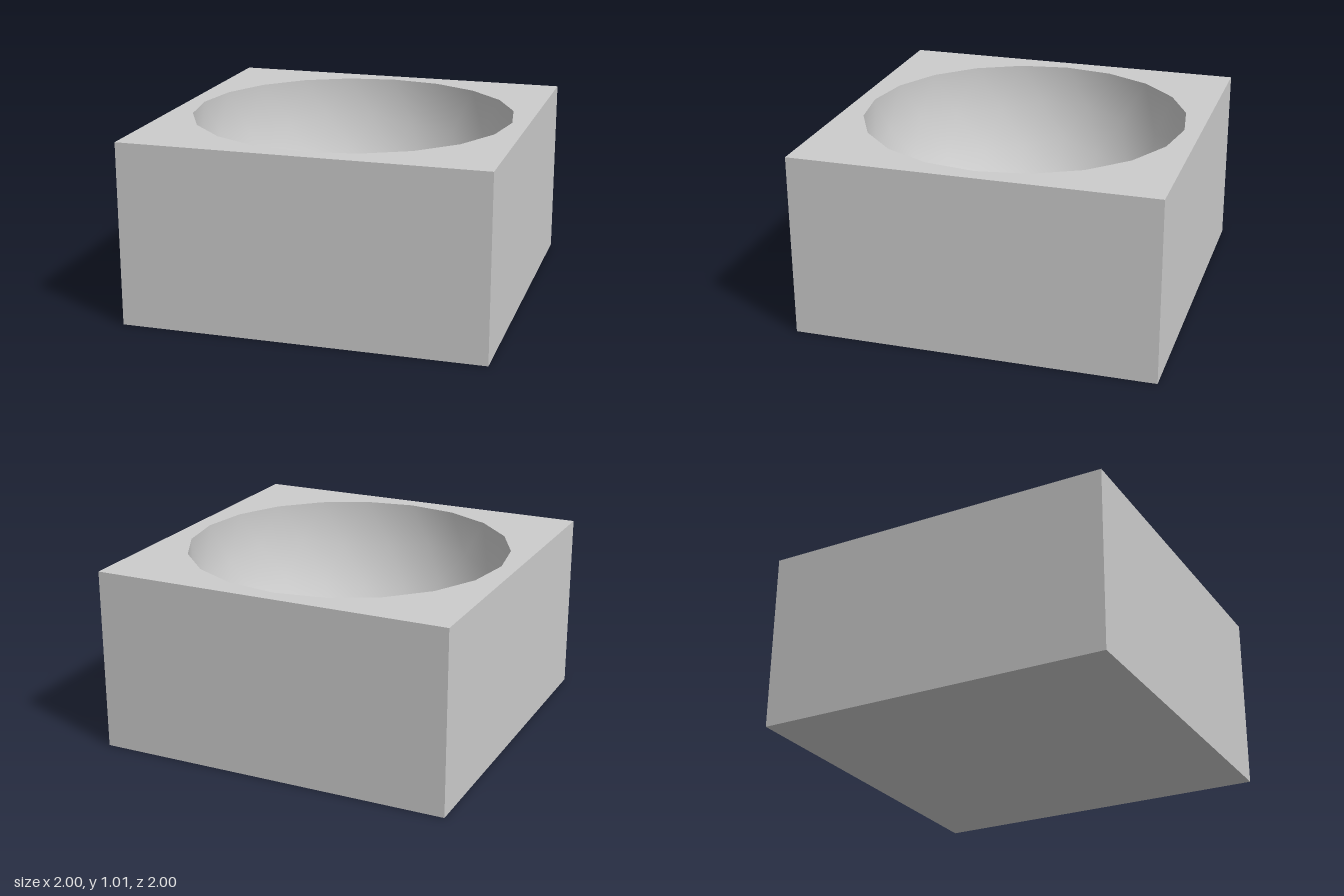
import * as THREE from 'three';

const SIZE = 2, HEIGHT = 1.015, RADIUS = 0.905, DEPTH = 0.96, SIDES = 20;

// Lower half of a slightly deepened geodesic sphere, facing inward
function bowlGeometry() {
  const coarse = new THREE.IcosahedronGeometry(1, 1);
  const corners = Array.from(coarse.attributes.position.array);
  const sphere = new THREE.PolyhedronGeometry(corners, [...Array(corners.length / 3).keys()], 1, 1);
  sphere.rotateZ(-Math.atan(2 / (1 + Math.sqrt(5))));

  const p = sphere.attributes.position;
  const points = [];
  for (let i = 0; i < p.count; i += 3) {
    const [a, b, c] = [0, 1, 2].map((k) => new THREE.Vector3().fromBufferAttribute(p, i + k));
    if (a.y + b.y + c.y < 0) points.push(c, b, a);
  }
  const bowl = new THREE.BufferGeometry().setFromPoints(points);
  const normals = points.flatMap((v) => v.clone().negate().toArray());
  bowl.setAttribute('normal', new THREE.Float32BufferAttribute(normals, 3));
  return bowl.scale(RADIUS, DEPTH, RADIUS);
}

export function createModel() {
  const group = new THREE.Group();
  const material = new THREE.MeshStandardMaterial({ color: 0xcccccc });
  const add = (name, geometry, y) => {
    const mesh = new THREE.Mesh(geometry, material);
    mesh.name = name;
    mesh.position.y = y;
    group.add(mesh);
  };

  // Block: four walls and base, with the top face left out
  const block = new THREE.BoxGeometry(SIZE, HEIGHT, SIZE);
  const index = Array.from(block.index.array);
  index.splice(12, 6);
  block.setIndex(index);
  block.clearGroups();
  add('block', block, HEIGHT / 2);

  // Top face with a 20-sided opening
  const h = SIZE / 2;
  const square = new THREE.Shape([[-h, -h], [h, -h], [h, h], [-h, h]].map(([x, y]) => new THREE.Vector2(x, y)));
  const rim = Array.from({ length: SIDES }, (_, i) => {
    const a = -i / SIDES * Math.PI * 2;
    return new THREE.Vector2(Math.cos(a) * RADIUS, Math.sin(a) * RADIUS);
  });
  square.holes.push(new THREE.Path(rim));
  add('topFace', new THREE.ShapeGeometry(square).rotateX(-Math.PI / 2), HEIGHT);

  // Rounded hollow
  add('bowl', bowlGeometry(), HEIGHT);

  return group;
}
